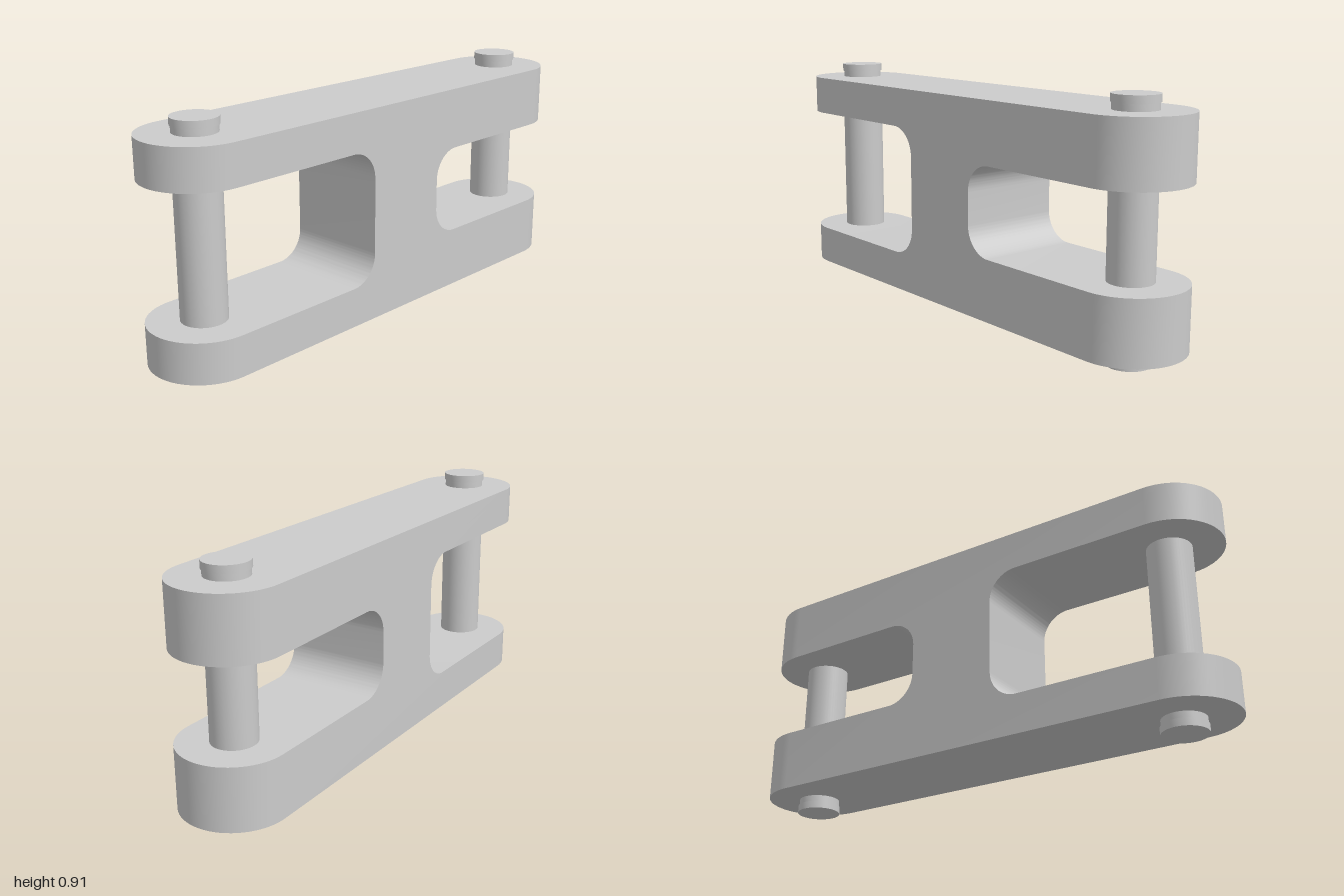
import * as THREE from 'three';
import { mergeGeometries, toCreasedNormals } from 'three/addons/utils/BufferGeometryUtils.js';

const R = 0.2;                       // half width of the link and radius of its ends
const END = Math.hypot(0.05, 0.8);   // distance from the middle to each pin axis
const BOTTOM = 0.053, TOP = 0.858;
const FRONT = { y0: 0.203, y1: 0.709, depth: 0.162, r: 0.11 };
const BACK = { y0: 0.287, y1: 0.625, depth: 0.188, r: 0.11 };

// H-shaped side profile with rounded slot corners, without the round ends
function bodyGeometry() {
  const s = new THREE.Shape();
  const { y0: a, y1: b, depth: f, r } = FRONT;
  const { y0: c, y1: d, depth: k, r: q } = BACK;
  s.moveTo(-END, BOTTOM);
  s.lineTo(END, BOTTOM);
  s.lineTo(END, a);
  s.lineTo(f + r, a);
  s.absarc(f + r, a + r, r, -Math.PI / 2, -Math.PI, true);
  s.absarc(f + r, b - r, r, Math.PI, Math.PI / 2, true);
  s.lineTo(END, b);
  s.lineTo(END, TOP);
  s.lineTo(-END, TOP);
  s.lineTo(-END, d);
  s.lineTo(-k - q, d);
  s.absarc(-k - q, d - q, q, Math.PI / 2, 0, true);
  s.absarc(-k - q, c + q, q, 0, -Math.PI / 2, true);
  s.lineTo(-END, c);
  s.closePath();
  const g = new THREE.ExtrudeGeometry(s, { depth: 2 * R, bevelEnabled: false, curveSegments: 16 });
  g.rotateY(-Math.PI / 2).translate(R, 0, 0);

  // drop the flat ends where the half-round ends join on
  const p = g.attributes.position, kept = [];
  for (let i = 0; i < p.count; i += 3) {
    const onEnd = [-1, 1].some(e => [0, 1, 2].every(j => Math.abs(p.getZ(i + j) - e * END) < 1e-4));
    if (!onEnd) for (let j = 0; j < 3; j++) kept.push(p.getX(i + j), p.getY(i + j), p.getZ(i + j));
  }
  return fromPositions(kept);
}

function fromPositions(values) {
  const g = new THREE.BufferGeometry();
  g.setAttribute('position', new THREE.Float32BufferAttribute(values, 3));
  return g;
}

// Half-round end of one fork arm
function armEnd(side, y0, y1) {
  const g = new THREE.CylinderGeometry(R, R, y1 - y0, 32, 1, false, -side * Math.PI / 2, Math.PI);
  g.translate(0, (y0 + y1) / 2, side * END);
  return fromPositions(g.toNonIndexed().attributes.position.array);
}

export function createModel() {
  const model = new THREE.Group();
  model.name = 'doubleForkLink';
  const material = new THREE.MeshStandardMaterial({ color: 0xcccccc });
  const link = new THREE.Group();
  link.name = 'link';
  link.rotation.y = Math.atan2(0.05, 0.8);
  model.add(link);

  // Forked body
  const parts = [bodyGeometry()];
  for (const [side, slot] of [[1, FRONT], [-1, BACK]]) {
    parts.push(armEnd(side, BOTTOM, slot.y0), armEnd(side, slot.y1, TOP));
  }
  const body = new THREE.Mesh(toCreasedNormals(mergeGeometries(parts), 0.5), material);
  body.name = 'forkedBody';
  link.add(body);

  // Pins with a shallow groove below each head
  const profile = [
    [0, 0], [0.083, 0], [0.083, 0.028], [0.079, 0.028], [0.079, BOTTOM], [0.083, BOTTOM],
    [0.083, TOP], [0.079, TOP], [0.079, 0.883], [0.083, 0.883], [0.083, 0.911], [0, 0.911],
  ].map(([x, y]) => new THREE.Vector2(x, y));
  const pinGeometry = toCreasedNormals(new THREE.LatheGeometry(profile, 48), 0.5);
  for (const [name, side] of [['frontPin', 1], ['backPin', -1]]) {
    const pin = new THREE.Mesh(pinGeometry, material);
    pin.name = name;
    pin.position.z = side * END;
    link.add(pin);
  }
  return model;
}
